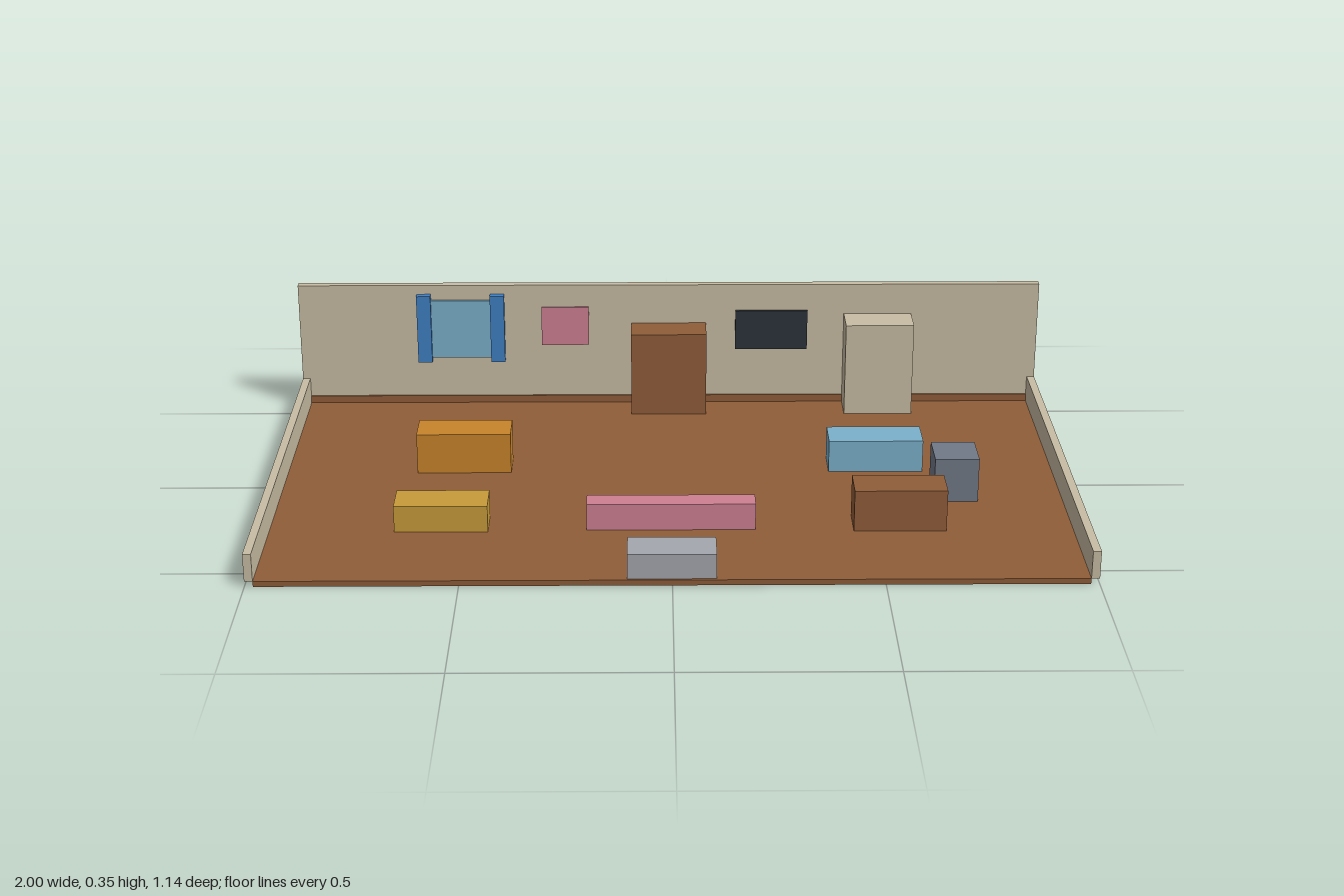
import * as THREE from 'three';

// Flat colours, one material each
const colors = {
  plaster: 0xc8bca3, wood: 0x8f5d39, orange: 0xc8842b, gold: 0xc89b3a, pink: 0xce8092,
  skyBlue: 0x7bb0cb, slate: 0x727a87, lightGrey: 0xa4a7ae, charcoal: 0x2c333a, curtainBlue: 0x4080c4,
};

export function createModel() {
  const room = new THREE.Group();
  room.name = 'openRoom';
  const materials = {};
  for (const [name, color] of Object.entries(colors)) {
    materials[name] = new THREE.MeshStandardMaterial({ color });
    materials[name].name = name;
  }

  // Box given by its extents along each axis
  const box = (name, material, [x0, x1], [y0, y1], [z0, z1]) => {
    const mesh = new THREE.Mesh(new THREE.BoxGeometry(x1 - x0, y1 - y0, z1 - z0), materials[material]);
    mesh.position.set((x0 + x1) / 2, (y0 + y1) / 2, (z0 + z1) / 2);
    mesh.name = name;
    room.add(mesh);
  };

  const floorY = 0.014, wallZ = -0.548;

  // Shell: floor slab, tall back wall, low side walls, skirting strip
  box('floor', 'wood', [-0.98, 0.98], [0, floorY], [wallZ, 0.57]);
  box('backWall', 'plaster', [-1, 1], [floorY, 0.352], [-0.57, wallZ]);
  box('leftWall', 'plaster', [0.98, 1], [floorY, 0.084], [wallZ, 0.57]);
  box('rightWall', 'plaster', [-1, -0.98], [floorY, 0.084], [wallZ, 0.57]);
  box('skirting', 'wood', [-0.98, 0.98], [floorY, 0.034], [wallZ, -0.544]);

  // Furniture standing on the floor: x range, top height, z range
  const furniture = [
    ['orangeDesk', 'orange', [-0.648, -0.408], 0.12, [-0.158, -0.06]],
    ['blueDesk', 'skyBlue', [0.406, 0.647], 0.098, [-0.158, -0.06]],
    ['slateCube', 'slate', [0.657, 0.767], 0.128, [0.017, 0.129]],
    ['goldBench', 'gold', [-0.675, -0.447], 0.082, [0.203, 0.3]],
    ['pinkBench', 'pink', [-0.207, 0.205], 0.082, [0.235, 0.292]],
    ['woodenChest', 'wood', [0.444, 0.67], 0.12, [0.205, 0.303]],
    ['greyStep', 'lightGrey', [-0.106, 0.104], 0.077, [0.468, 0.564]],
    ['woodenCabinet', 'wood', [-0.102, 0.1], 0.243, [wallZ, -0.455]],
    ['paleCabinet', 'plaster', [0.474, 0.656], 0.268, [wallZ, -0.453]],
  ];
  for (const [name, material, x, top, z] of furniture) box(name, material, x, [floorY, top], z);

  // Fittings on the back wall
  box('windowPane', 'skyBlue', [-0.645, -0.482], [0.147, 0.31], [wallZ, -0.54]);
  box('rightCurtain', 'curtainBlue', [-0.681, -0.643], [0.138, 0.327], [wallZ, -0.528]);
  box('leftCurtain', 'curtainBlue', [-0.483, -0.445], [0.138, 0.327], [wallZ, -0.528]);
  box('poster', 'pink', [-0.345, -0.217], [0.182, 0.29], [wallZ, -0.543]);
  box('screen', 'charcoal', [0.18, 0.375], [0.17, 0.279], [wallZ, -0.539]);

  return room;
}
